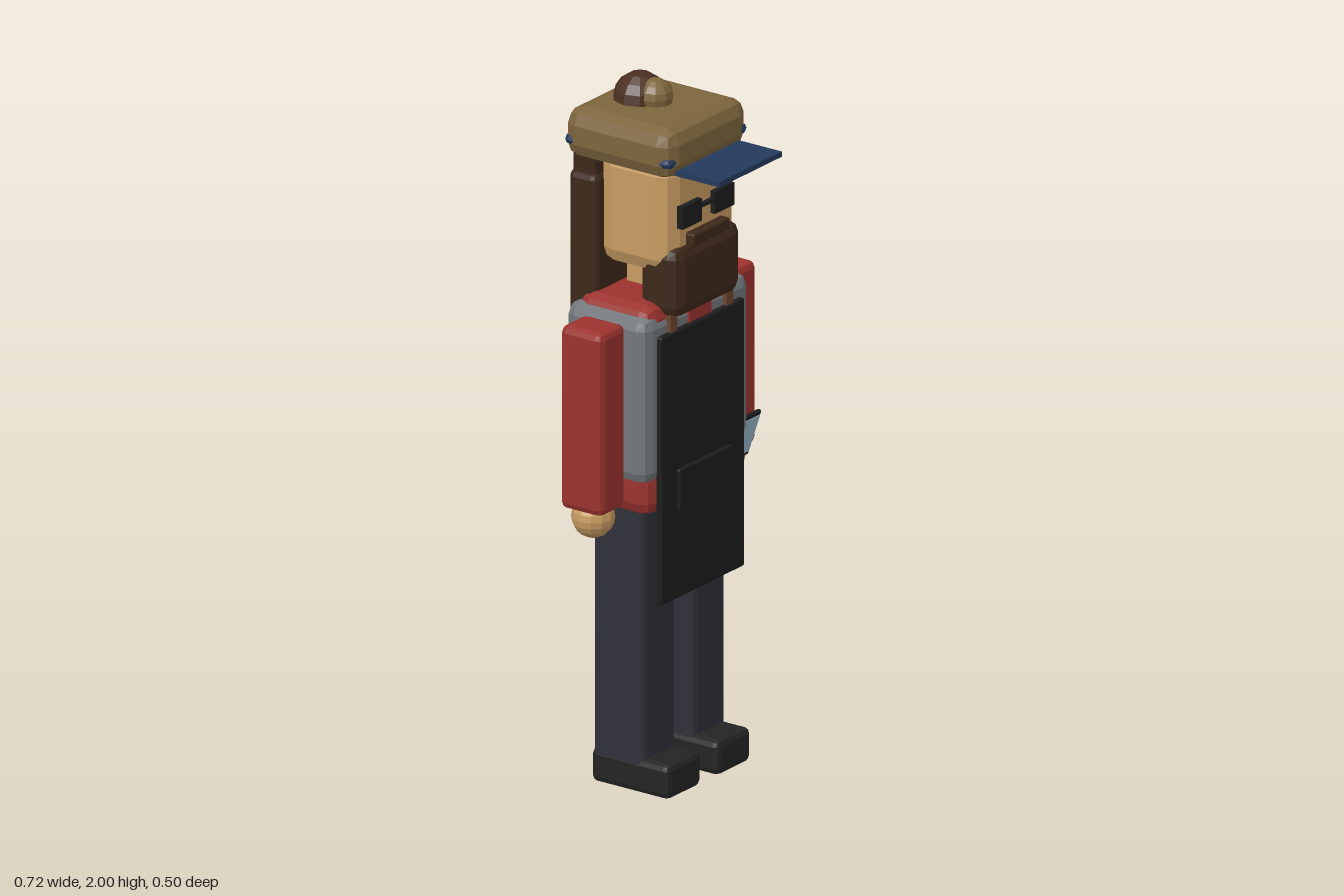
import * as THREE from 'three';
import { RoundedBoxGeometry } from 'three/addons/geometries/RoundedBoxGeometry.js';

const COLORS = {
  skin: 0xc89c62, hair: 0x3d281a, bun: 0x4a2f20, hat: 0x7d653d, blue: 0x243a5c,
  red: 0x9c332e, vest: 0x72777b, trousers: 0x2f3039, shoe: 0x242424,
  apron: 0x1d1d1d, strap: 0x6e4630, screen: 0x9db9cb,
};
const materials = {};
for (const key in COLORS) {
  materials[key] = new THREE.MeshStandardMaterial({ color: COLORS[key], flatShading: true });
}

export function createModel() {
  const model = new THREE.Group();
  model.name = 'aproned worker';

  function add(name, geometry, color, x, y, z, parent = model) {
    const mesh = new THREE.Mesh(geometry, materials[color]);
    mesh.name = name;
    mesh.position.set(x, y, z);
    parent.add(mesh);
    return mesh;
  }
  // Box given by its [min, max] on each axis, with bevelled edges when bevel > 0
  function block(name, color, [x0, x1], [y0, y1], [z0, z1], bevel = 0, parent = model) {
    const w = x1 - x0, h = y1 - y0, d = z1 - z0;
    const geometry = bevel ? new RoundedBoxGeometry(w, h, d, 1, bevel) : new THREE.BoxGeometry(w, h, d);
    return add(name, geometry, color, (x0 + x1) / 2, (y0 + y1) / 2, (z0 + z1) / 2, parent);
  }
  const span = (center, size) => [center - size / 2, center + size / 2];

  // Limbs, mirrored
  for (const [side, s] of [['left', 1], ['right', -1]]) {
    block(side + 'Shoe', 'shoe', span(0.113 * s, 0.155), [0, 0.1], [-0.148, 0.112], 0.018);
    block(side + 'Leg', 'trousers', span(0.115 * s, 0.15), [0.06, 0.86], [-0.143, 0.028], 0.018);
    block(side + 'Arm', 'red', span(0.298 * s, 0.118), [0.845, 1.375], [-0.131, 0.009], 0.02);
    add(side + 'Hand', new THREE.SphereGeometry(0.06, 12, 10), 'skin', 0.298 * s, 0.822, -0.06);
    block(side + 'ApronStrap', 'strap', span(0.127 * s, 0.03), [1.3, 1.385], [0.06, 0.086]);
  }

  // Torso clothing
  block('shirt', 'red', [-0.218, 0.218], [0.81, 1.415], [-0.182, 0.068], 0.04);
  block('vest', 'vest', [-0.24, 0.24], [0.91, 1.392], [-0.202, 0.074], 0.035);
  block('shirtFront', 'red', [-0.05, 0.05], [1.28, 1.375], [0.05, 0.08]);
  block('apron', 'apron', [-0.19, 0.19], [0.56, 1.335], [0.07, 0.09], 0.006);
  block('apronPocket', 'apron', [-0.12, 0.12], [0.815, 0.935], [0.085, 0.101], 0.005);

  // Head and face
  block('neck', 'skin', [-0.06, 0.06], [1.38, 1.53], [-0.122, -0.02]);
  block('head', 'skin', [-0.16, 0.16], [1.49, 1.83], [-0.152, 0.092], 0.05);
  block('beard', 'hair', [-0.152, 0.152], [1.372, 1.58], [-0.02, 0.112], 0.035);
  block('moustache', 'hair', [-0.083, 0.083], [1.573, 1.608], [0.085, 0.12], 0.006);
  for (const s of [1, -1]) block('lens', 'apron', span(0.074 * s, 0.088), [1.63, 1.695], [0.088, 0.107]);
  block('glassesBridge', 'apron', [-0.04, 0.04], [1.666, 1.676], [0.09, 0.105]);

  // Long back hair
  block('hairLength', 'hair', [-0.183, 0.183], [1.235, 1.75], [-0.23, -0.136], 0.018);
  block('hairCrown', 'hair', [-0.172, 0.172], [1.68, 1.83], [-0.226, -0.145], 0.015);

  // Cap with a band that shows at the bevelled corners
  block('cap', 'hat', [-0.185, 0.185], [1.78, 1.925], [-0.25, 0.112], 0.045);
  block('capBand', 'blue', [-0.182, 0.182], [1.817, 1.85], [-0.247, 0.109], 0.036);
  block('capVisor', 'blue', [-0.143, 0.143], [1.793, 1.808], [0.05, 0.248]);
  add('hairBun', new THREE.SphereGeometry(0.075, 10, 8), 'bun', 0, 1.925, -0.122);
  add('capButton', new THREE.SphereGeometry(0.05, 10, 8), 'hat', 0, 1.942, -0.07);

  // Phone in the left hand, leaning forward
  const phone = new THREE.Group();
  phone.name = 'phone';
  phone.position.set(0.296, 0.886, 0.012);
  phone.rotation.x = 0.32;
  model.add(phone);
  block('phoneBody', 'apron', span(0, 0.08), span(0, 0.145), span(0, 0.012), 0.004, phone);
  block('phoneScreen', 'screen', span(0, 0.068), span(0, 0.12), [0.004, 0.008], 0, phone);

  return model;
}
